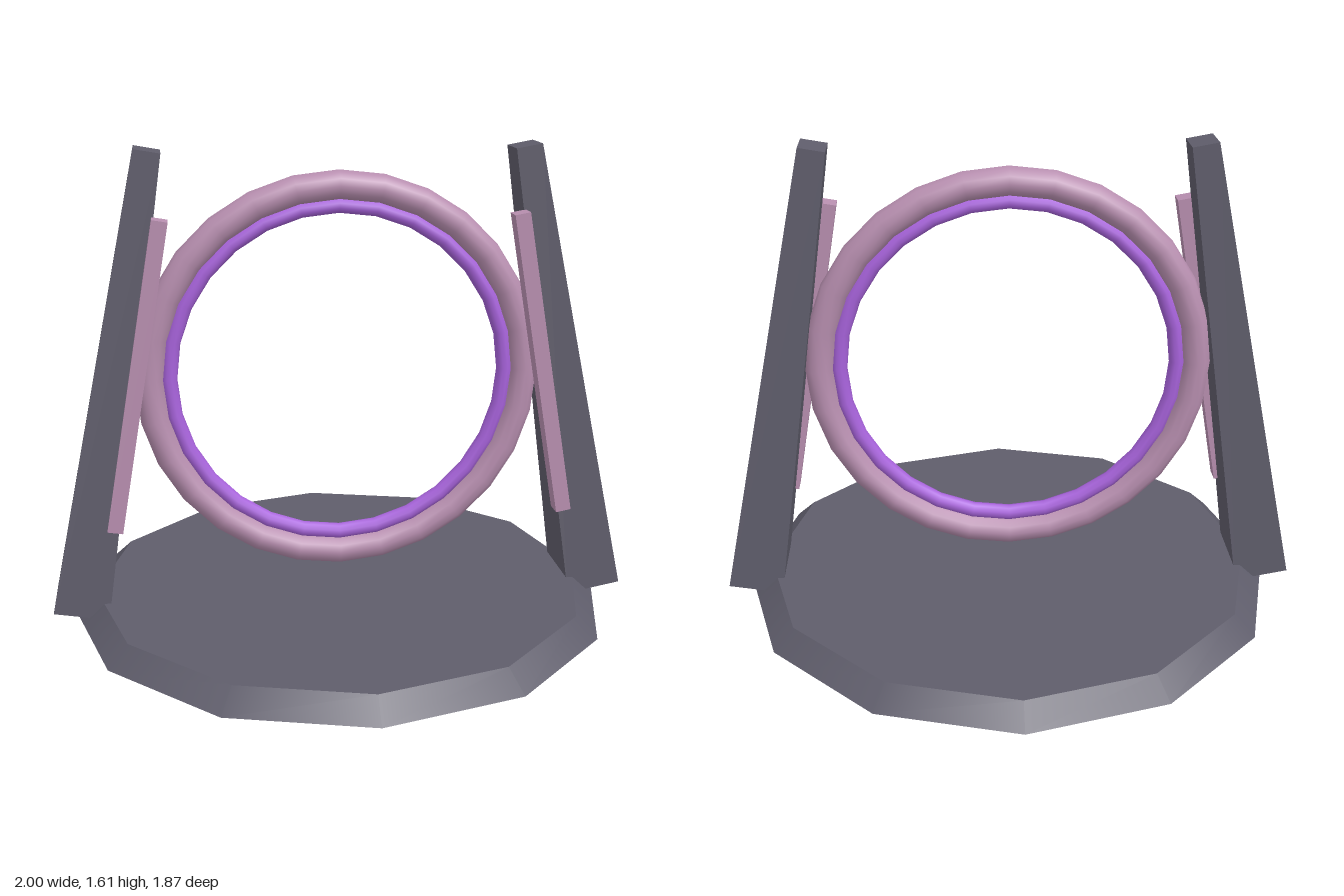
import * as THREE from 'three';

export function createModel() {
  const stone = new THREE.MeshStandardMaterial({ name: 'slate grey', color: 0x5f5d6b });
  const trim = new THREE.MeshStandardMaterial({ name: 'dusty pink', color: 0xb88fb0 });
  const glow = new THREE.MeshStandardMaterial({ name: 'violet', color: 0xa863dc });

  const model = new THREE.Group();
  model.name = 'ringGate';
  const add = (parent, name, geometry, material, x = 0, y = 0, z = 0) => {
    const mesh = new THREE.Mesh(geometry, material);
    mesh.name = name;
    mesh.position.set(x, y, z);
    parent.add(mesh);
    return mesh;
  };

  // Twelve-sided base with a sloping rim
  add(model, 'base', new THREE.CylinderGeometry(0.86, 0.935, 0.07, 12), stone, 0, 0.035, 0);

  // Upright ring with a thinner inner ring
  add(model, 'outerRing', new THREE.TorusGeometry(0.647, 0.05, 12, 28), trim, 0, 0.828, 0);
  add(model, 'innerRing', new THREE.TorusGeometry(0.58, 0.027, 10, 28), glow, 0, 0.828, 0);

  // Square post, narrower at the top
  const postGeometry = new THREE.BoxGeometry(0.19, 1.597, 0.24);
  const p = postGeometry.attributes.position;
  for (let i = 0; i < p.count; i++) {
    if (p.getY(i) > 0) p.setXYZ(i, p.getX(i) * 0.47, p.getY(i), p.getZ(i) * 0.52);
  }
  postGeometry.computeVertexNormals();
  const stripGeometry = new THREE.BoxGeometry(0.053, 1.07, 0.064);

  // Posts lean inward, each with a strip on its front inner edge
  for (const [side, label] of [[1, 'left'], [-1, 'right']]) {
    const post = add(model, label + 'Post', postGeometry, stone, side * 0.767, 0.813, 0);
    const strip = add(model, label + 'Strip', stripGeometry, trim, side * 0.687, 0.858, 0.097);
    post.rotation.z = side * 0.176;
    strip.rotation.z = side * 0.174;
  }
  return model;
}
